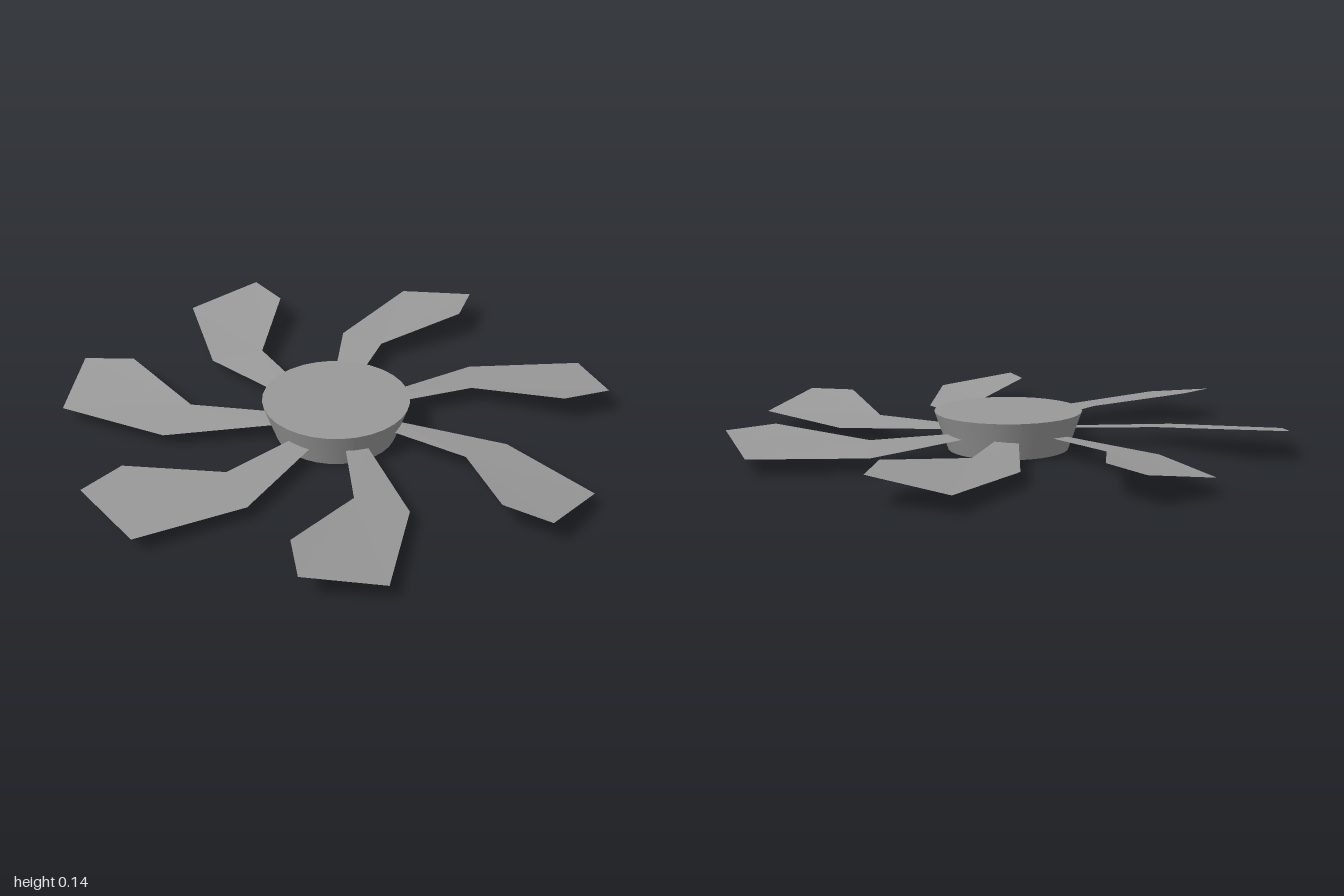
import * as THREE from 'three';

const BLADES = 7;

// Blade outline pointing along -x: leading root, elbow, tip corners, trailing elbow, trailing root
const OUTLINE = [
  [-0.2, 0.071, 0.009],
  [-0.535, 0.075, 0.003],
  [-0.8, 0.114, -0.234],
  [-0.985, 0.107, -0.226],
  [-1.002, 0.061, 0.061],
  [-0.603, 0.052, 0.184],
  [-0.2, 0.065, 0.085],
];

function bladeGeometry() {
  const geo = new THREE.BufferGeometry();
  geo.setAttribute('position', new THREE.Float32BufferAttribute(OUTLINE.flat(), 3));
  // Fan from the concave elbow
  const index = [];
  for (let i = 2; i < 7; i++) index.push(1, i, (i + 1) % 7);
  geo.setIndex(index);
  const flat = geo.toNonIndexed();
  flat.computeVertexNormals();
  return flat;
}

export function createModel() {
  const model = new THREE.Group();
  model.name = 'fanRotor';

  const hubMetal = new THREE.MeshStandardMaterial({ color: 0x999999 });
  hubMetal.name = 'grey metal';
  hubMetal.side = THREE.DoubleSide;

  // Tapered hub, wider at the top
  const hub = new THREE.Mesh(new THREE.CylinderGeometry(0.268, 0.219, 0.138, 32), hubMetal);
  hub.name = 'hub';
  hub.position.y = 0.069;
  model.add(hub);

  // Pitched thin blades around the hub
  const geo = bladeGeometry();
  for (let i = 0; i < BLADES; i++) {
    const blade = new THREE.Mesh(geo, hubMetal);
    blade.name = `blade${i + 1}`;
    blade.rotation.y = (i * Math.PI * 2) / BLADES;
    model.add(blade);
  }

  // Seven blades are not symmetric, so the hub sits slightly off centre
  model.children.forEach((part) => {
    part.position.x += 0.005;
    part.position.z -= 0.016;
  });
  return model;
}
